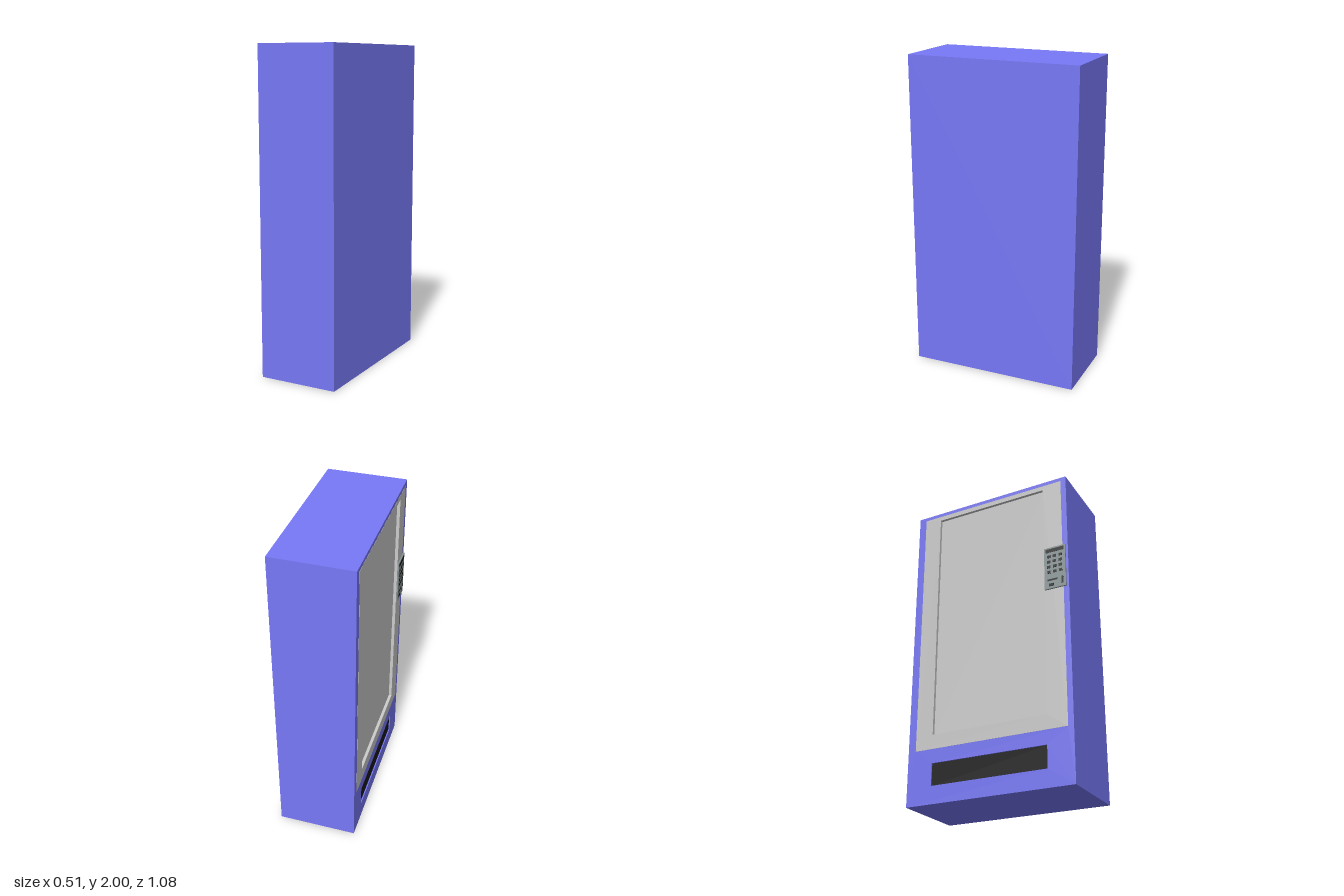
import * as THREE from 'three';

const paint = (color) => new THREE.MeshStandardMaterial({ color });
const blue = paint(0x7878f8), grey = paint(0xcccccc), steel = paint(0x8a9696), black = paint(0x181818);

// Rectangle outline given as [left, right, bottom, top]
function rect([l, r, b, t], Type = THREE.Shape) {
  return new Type([[l, b], [r, b], [r, t], [l, t]].map(([x, y]) => new THREE.Vector2(x, y)));
}

// Flat plate between two depths, with optional rectangular openings
function plate(name, area, back, front, material, holes = []) {
  const shape = rect(area);
  shape.holes = holes.map((h) => rect(h, THREE.Path));
  const geo = new THREE.ExtrudeGeometry(shape, { depth: front - back, bevelEnabled: false });
  geo.translate(0, 0, back);
  const mesh = new THREE.Mesh(geo, material);
  mesh.name = name;
  return mesh;
}

export function createModel() {
  const model = new THREE.Group();
  model.name = 'vendingMachine';

  // Built facing its own +z, then turned so the service side faces -x
  const machine = new THREE.Group();
  machine.name = 'machine';
  machine.rotation.y = -Math.PI / 2;
  model.add(machine);

  const face = 0.243, recess = 0.223;
  const body = [-0.54, 0.54, 0, 2];
  const panel = [-0.49, 0.505, 0.335, 1.975];
  const glass = [-0.375, 0.38, 0.425, 1.945];
  const slot = [-0.375, 0.375, 0.11, 0.247];

  // Cabinet, with the door and the delivery slot cut into its face
  machine.add(
    plate('cabinet', body, -0.255, recess, blue),
    plate('cabinetFace', body, recess, face, blue, [panel, slot]),
    plate('doorFrame', panel, recess, face + 0.001, grey, [glass]),
    plate('displayWindow', glass, recess, recess + 0.002, grey),
    plate('deliveryFlap', slot, recess, face - 0.008, black),
  );

  // Payment keypad
  const keypad = new THREE.Group();
  keypad.name = 'keypad';
  machine.add(keypad);
  keypad.add(
    plate('keypadPlate', [0.385, 0.525, 1.215, 1.5], face, 0.253, steel),
    plate('keypadDisplay', [0.395, 0.515, 1.465, 1.49], 0.252, 0.2535, black),
    plate('coinSlot', [0.497, 0.508, 1.235, 1.285], 0.252, 0.2535, black),
    plate('noteSlot', [0.405, 0.47, 1.268, 1.28], 0.252, 0.2535, black),
    plate('coinReturn', [0.415, 0.445, 1.23, 1.25], 0.252, 0.2535, black),
  );
  for (let row = 0; row < 4; row++) {
    for (let col = 0; col < 3; col++) {
      const x = 0.416 + col * 0.038, y = 1.328 + row * 0.036;
      keypad.add(plate('keypadButton', [x - 0.011, x + 0.011, y - 0.009, y + 0.009], 0.252, 0.255, black));
    }
  }
  return model;
}
